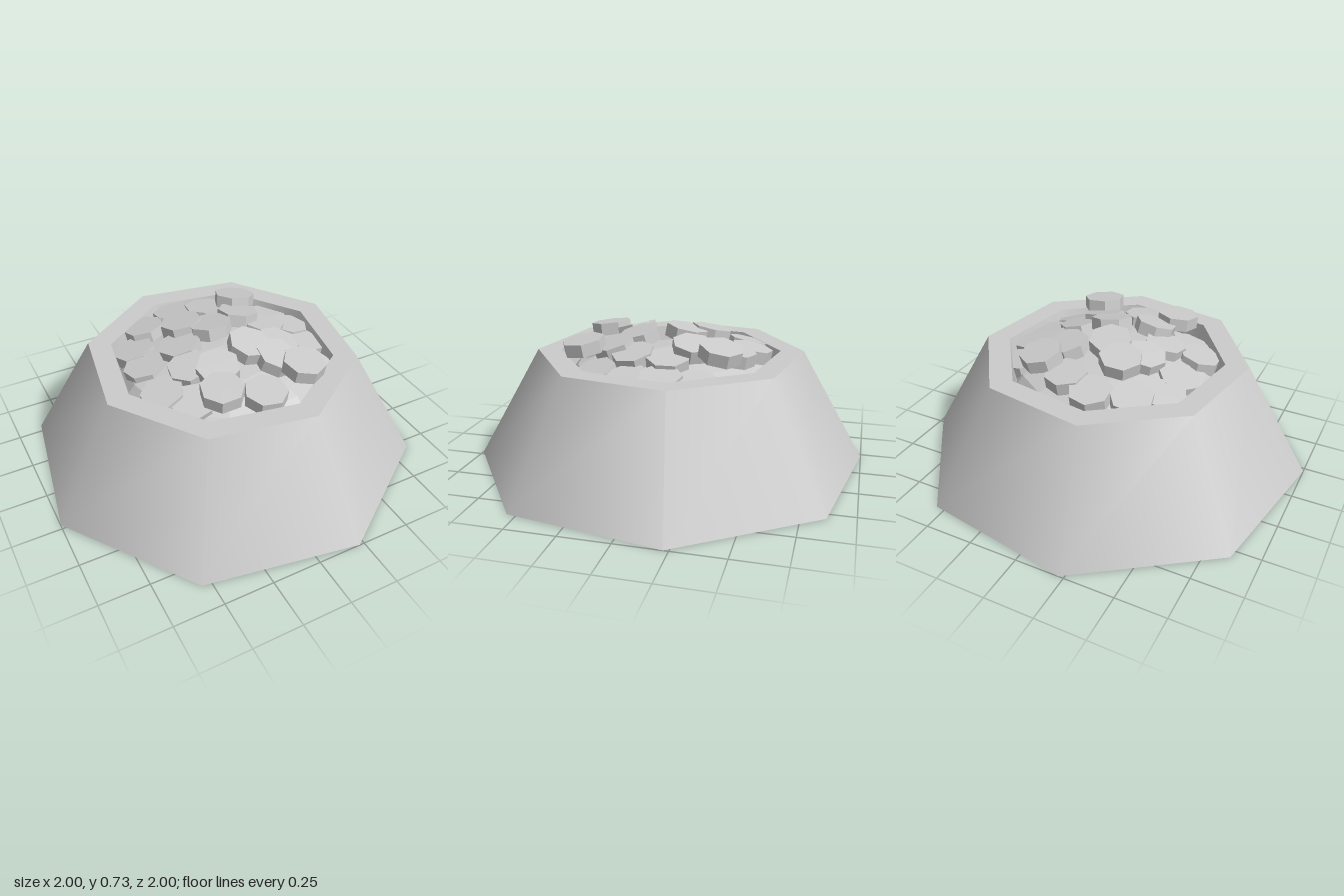
import * as THREE from 'three';

const SIDES = 8;
const TURN = THREE.MathUtils.degToRad(12.7);

export function createModel() {
  const group = new THREE.Group();
  const smooth = new THREE.MeshStandardMaterial({ color: 0xcccccc });
  const inside = new THREE.MeshStandardMaterial({ color: 0xcccccc, side: THREE.BackSide });
  const flat = new THREE.MeshStandardMaterial({ color: 0xcccccc, flatShading: true });

  const add = (name, geometry, material, y = 0, parent = group) => {
    const mesh = new THREE.Mesh(geometry, material);
    mesh.name = name;
    mesh.position.y = y;
    parent.add(mesh);
    return mesh;
  };

  // Eight-sided bowl: sloping wall, flat rim, tapering cavity, base
  add('bowlWall', new THREE.CylinderGeometry(0.69, 1.024, 0.585, SIDES, 1, true, TURN), smooth, 0.2925);
  add('bowlCavity', new THREE.CylinderGeometry(0.57, 0.51, 0.25, SIDES, 1, true, TURN), inside, 0.46);
  const ringStart = TURN - Math.PI / 2;
  add('bowlRim', new THREE.RingGeometry(0.57, 0.69, SIDES, 1, ringStart).rotateX(-Math.PI / 2), smooth, 0.585);
  add('bowlFloor', new THREE.CircleGeometry(0.515, SIDES, ringStart).rotateX(-Math.PI / 2), smooth, 0.335);
  add('bowlBase', new THREE.CircleGeometry(1.024, SIDES, -ringStart).rotateX(Math.PI / 2), smooth);

  // Low mound filling the cavity under the loose pieces
  const mound = [[0.53, 0.47], [0.48, 0.53], [0.4, 0.56], [0.28, 0.59], [0, 0.61]]
    .map(([r, y]) => new THREE.Vector2(r, y));
  add('foodMound', new THREE.LatheGeometry(mound, 16), flat);

  // Loose seven-sided pieces: x, z, centre height, outward tilt in degrees
  const pieces = [
    [-0.27, -0.36, 0.57, 14], [-0.08, -0.41, 0.58, 12], [0.08, -0.35, 0.6, 10],
    [0.24, -0.31, 0.655, 14], [-0.13, -0.19, 0.66, 12], [0.18, -0.16, 0.65, 14],
    [0.43, -0.06, 0.55, 12], [-0.02, -0.08, 0.68, 12], [-0.2, -0.06, 0.625, 14],
    [-0.39, -0.07, 0.55, 14], [-0.4, 0.17, 0.55, 14], [-0.23, 0.11, 0.61, 14],
    [0.08, 0.14, 0.67, 16], [0.26, 0.12, 0.61, 16], [-0.13, 0.22, 0.65, 18],
    [0.18, 0.24, 0.63, 18], [-0.19, 0.38, 0.645, 8], [0.02, 0.42, 0.58, 8],
    [0.25, 0.38, 0.65, 10], [0.37, 0.28, 0.54, 20], [-0.3, 0.29, 0.54, 20],
    [0.28, -0.06, 0.6, 12], [-0.38, -0.23, 0.54, 14], [0.4, -0.23, 0.53, 10],
    [0.43, 0.1, 0.54, 12],
  ];
  const food = new THREE.Group();
  food.name = 'foodPieces';
  group.add(food);
  const shape = new THREE.CylinderGeometry(0.108, 0.108, 0.065, 7);
  const axis = new THREE.Vector3();
  pieces.forEach(([x, z, y, tilt], i) => {
    const piece = add('foodPiece', shape, flat, y, food);
    piece.position.set(x, y, z);
    piece.rotation.y = i * 0.7;
    axis.set(z, 0, -x).normalize();
    piece.rotateOnWorldAxis(axis, THREE.MathUtils.degToRad(tilt));
  });

  return group;
}
